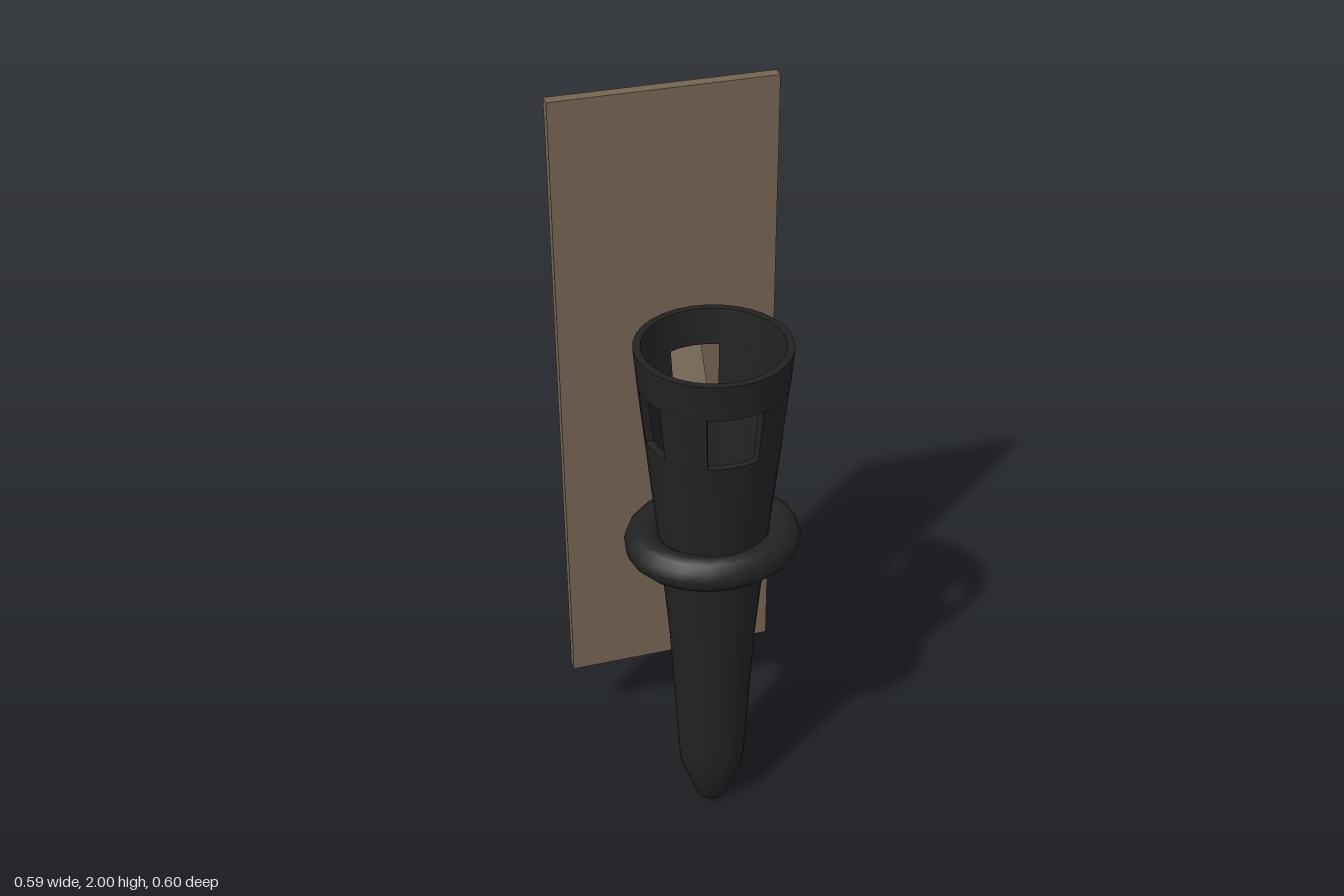
import * as THREE from 'three';
import { toCreasedNormals } from 'three/addons/utils/BufferGeometryUtils.js';

export function createModel() {
  const model = new THREE.Group();
  model.name = 'wallTorch';
  const iron = new THREE.MeshStandardMaterial({ color: 0x222222, side: THREE.DoubleSide });
  iron.name = 'black iron';
  const wood = new THREE.MeshStandardMaterial({ color: 0x756552 });
  wood.name = 'brown wood';

  const add = (parent, name, geometry, material) => {
    const mesh = new THREE.Mesh(geometry, material);
    mesh.name = name;
    parent.add(mesh);
    return mesh;
  };
  const points = (list) => list.map(([r, y]) => new THREE.Vector2(r, y));
  const rad = THREE.MathUtils.degToRad;
  const turned = (list, segments, start = 0, sweep = 360) =>
    toCreasedNormals(new THREE.LatheGeometry(points(list), segments, rad(start), rad(sweep)), 0.6);

  // Wall board and the slanted bracket that carries the torch
  add(model, 'wallBoard', new THREE.BoxGeometry(0.59, 1.765, 0.033), wood)
    .position.set(0, 1.1175, -0.286);
  const bracket = add(model, 'bracket', new THREE.BoxGeometry(0.163, 0.42, 0.033), wood);
  bracket.position.set(0.008, 1.093, -0.179);
  bracket.rotation.x = -0.51;

  const torch = new THREE.Group();
  torch.name = 'torch';
  torch.position.set(0.012, 0, 0.097);
  model.add(torch);

  // Hollow tapering handle and lower cup: outside going up, inside going down
  add(torch, 'handle', turned([
    [0, 0], [0.033, 0], [0.042, 0.012], [0.088, 0.14], [0.093, 0.2], [0.115, 0.6],
    [0.138, 0.87], [0.175, 1.24], [0.155, 1.24], [0.12, 0.87], [0.098, 0.6],
    [0.078, 0.2], [0.072, 0.14], [0.03, 0.03], [0, 0.025],
  ], 32), iron);

  // Top rim
  add(torch, 'rim', turned([
    [0.19, 1.39], [0.198, 1.488], [0.179, 1.488], [0.17, 1.39], [0.19, 1.39],
  ], 32), iron);

  // Posts between the four windows, with closed ends
  const post = [[0.175, 1.24], [0.19, 1.39], [0.17, 1.39], [0.155, 1.24], [0.175, 1.24]];
  const postEnd = new THREE.ShapeGeometry(new THREE.Shape(points(post.slice(0, 4))));
  for (const [from, to] of [[22, 60], [90, 158], [202, 270], [300, 338]]) {
    add(torch, 'windowPost', turned(post, 6, from, to - from), iron);
    for (const angle of [from, to]) {
      add(torch, 'windowPostEnd', postEnd, iron).rotation.y = rad(angle - 90);
    }
  }

  // Collar ring, slightly flattened front to back
  const ring = new THREE.TorusGeometry(0.184, 0.049, 12, 20);
  ring.rotateX(Math.PI / 2);
  ring.scale(1, 0.98, 0.87);
  add(torch, 'collarRing', ring, iron).position.y = 0.912;

  return model;
}
